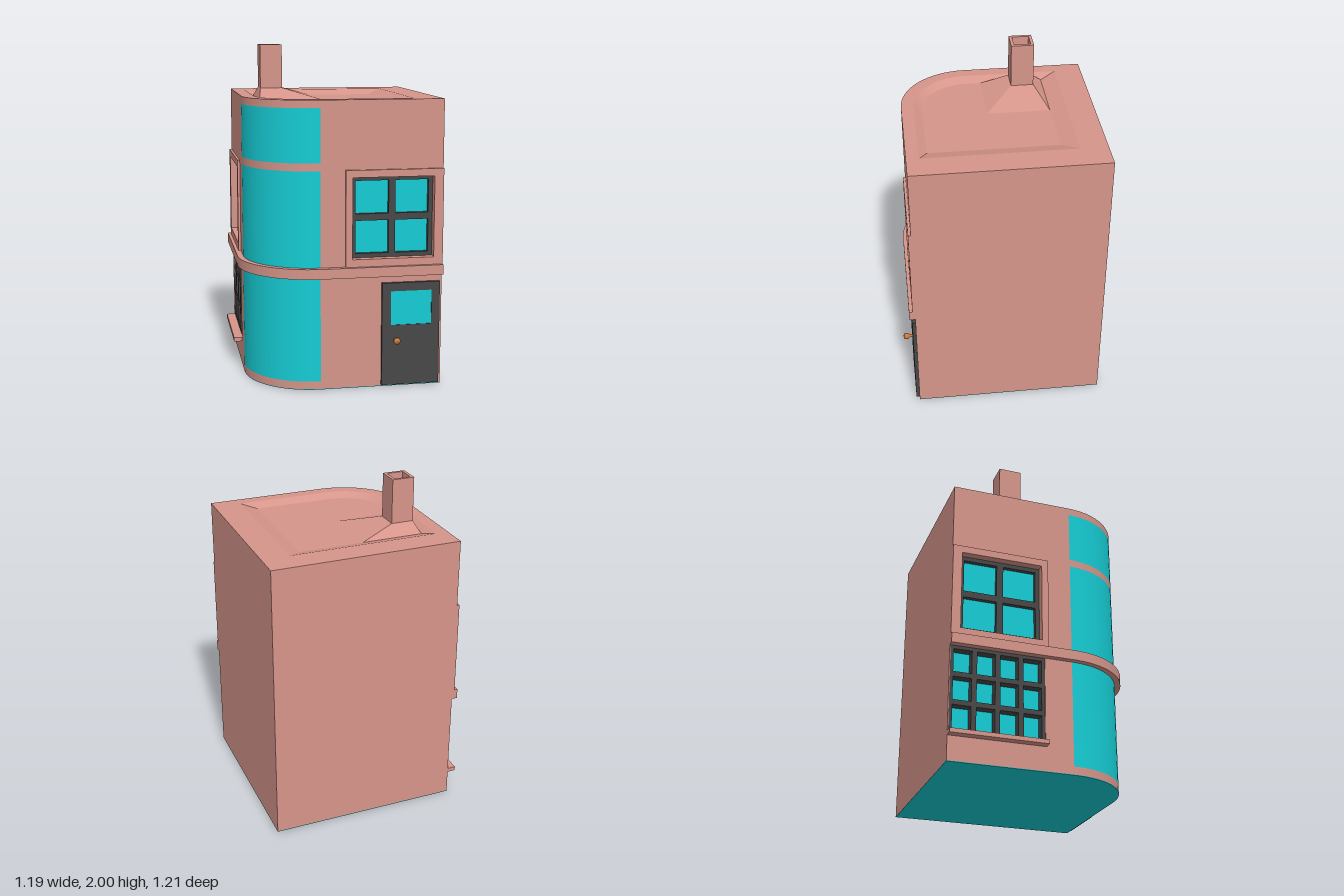
import * as THREE from 'three';
import { toCreasedNormals } from 'three/addons/utils/BufferGeometryUtils.js';

const paint = (color) => new THREE.MeshStandardMaterial({ color, side: THREE.DoubleSide });
const brick = paint(0xd6958a), glass = paint(0x16cdd5), dark = paint(0x484848), copper = paint(0xc87a40);

const TOP = 1.705, SEGS = 16, CX = -0.135, CZ = 0.12, R = 0.41;
const LEFT = CX - R, FRONT = CZ + R, RIGHT = 0.59, BACK = -0.605;

function add(parent, name, geometry, material, x = 0, y = 0, z = 0) {
  const mesh = new THREE.Mesh(geometry, material);
  mesh.name = name;
  mesh.position.set(x, y, z);
  parent.add(mesh);
  return mesh;
}

// Footprint with one rounded corner of radius r, counterclockwise from above
function plan(r, x1 = RIGHT, z0 = BACK) {
  const pts = [[x1, z0], [CX - r, z0]];
  for (let i = 0; i <= SEGS; i++) {
    const a = (i / SEGS) * Math.PI / 2;
    pts.push([CX - r * Math.cos(a), CZ + r * Math.sin(a)]);
  }
  pts.push([x1, CZ + r]);
  return pts;
}

const rect = (x0, x1, z0, z1) => [[x1, z0], [x0, z0], [x0, z1], [x1, z1]];

// Skin a stack of [loop, height] sections and cap both ends
function loft(sections) {
  const n = sections[0][0].length, pos = [], index = [];
  for (const [loop, y] of sections) for (const [x, z] of loop) pos.push(x, y, z);
  for (let s = 0; s < sections.length - 1; s++) {
    for (let i = 0; i < n; i++) {
      const a = s * n + i, b = s * n + (i + 1) % n;
      index.push(a, b, b + n, a, b + n, a + n);
    }
  }
  const t = (sections.length - 1) * n;
  for (let i = 1; i < n - 1; i++) index.push(0, i + 1, i, t, t + i, t + i + 1);
  const g = new THREE.BufferGeometry();
  g.setAttribute('position', new THREE.Float32BufferAttribute(pos, 3));
  g.setIndex(index);
  return toCreasedNormals(g, 0.3);
}

// Flat panel with rectangular holes; rectangles are [u0, u1, y0, y1]
function panel([u0, u1, y0, y1], holes, depth) {
  const corners = (a, b, c, d) => [[a, c], [b, c], [b, d], [a, d]].map((p) => new THREE.Vector2(...p));
  const shape = new THREE.Shape(corners(u0, u1, y0, y1));
  for (const h of holes) shape.holes.push(new THREE.Path(corners(...h)));
  return new THREE.ExtrudeGeometry(shape, { depth, bevelEnabled: false });
}

// Dark sash divided into panes, with glass behind it
function sash(parent, name, area, cols, rows, border, bar, z, depth) {
  const [u0, u1, y0, y1] = area, holes = [];
  const w = (u1 - u0 - 2 * border - (cols - 1) * bar) / cols;
  const h = (y1 - y0 - 2 * border - (rows - 1) * bar) / rows;
  for (let c = 0; c < cols; c++) {
    for (let r = 0; r < rows; r++) {
      const u = u0 + border + c * (w + bar), y = y0 + border + r * (h + bar);
      holes.push([u, u + w, y, y + h]);
    }
  }
  add(parent, name + 'Sash', panel(area, holes, depth), dark, 0, 0, z);
  add(parent, name + 'Glass', new THREE.PlaneGeometry(u1 - u0, y1 - y0), glass, (u0 + u1) / 2, (y0 + y1) / 2, z + 0.002);
}

// Projecting surround and recessed four-pane window
function upperWindow(parent, outer, hole) {
  add(parent, 'windowSurround', panel(outer, [hole], 0.015), brick);
  sash(parent, 'upperWindow', hole, 2, 2, 0.025, 0.04, -0.06, 0.028);
}

export function createModel() {
  const model = new THREE.Group();
  model.name = 'cornerHouse';

  // Floor and plain walls
  add(model, 'floor', loft([[plan(R), 0], [plan(R), 0.004]]), glass);
  const wallH = 1.66;
  add(model, 'backWall', new THREE.BoxGeometry(RIGHT - LEFT - 0.06, wallH, 0.01), brick,
    (RIGHT + LEFT + 0.06) / 2, wallH / 2 + 0.002, BACK + 0.005);
  add(model, 'rightWall', new THREE.BoxGeometry(0.01, wallH, FRONT - BACK), brick,
    RIGHT - 0.005, wallH / 2 + 0.002, (FRONT + BACK) / 2);

  // Curved corner: alternating brick and glass rings
  const levels = [0.004, 0.05, 0.675, 0.735, 1.3, 1.345, 1.66];
  for (let i = 0; i < levels.length - 1; i++) {
    const h = levels[i + 1] - levels[i];
    const ring = new THREE.CylinderGeometry(R, R, h, SEGS, 1, true, -Math.PI / 2, Math.PI / 2);
    add(model, i % 2 ? 'cornerGlass' : 'cornerStrip', ring, i % 2 ? glass : brick, CX, levels[i] + h / 2, CZ);
  }

  // Ledge between the floors
  add(model, 'ledge', loft([[plan(R + 0.035), 0.675], [plan(R + 0.035), 0.735]]), brick);

  // Front side: wall, window, door
  const front = new THREE.Group();
  front.name = 'frontSide';
  front.position.z = FRONT;
  model.add(front);
  const frontHole = [0.05, 0.535, 0.78, 1.26];
  add(front, 'frontWall', panel([CX, RIGHT, 0.004, wallH], [frontHole], 0.06), brick, 0, 0, -0.06);
  upperWindow(front, [0.01, RIGHT, 0.735, 1.303], frontHole);
  const doorPane = [0.28, 0.525, 0.378, 0.583];
  add(front, 'door', panel([0.227, 0.575, 0.012, 0.633], [doorPane], 0.02), dark);
  add(front, 'doorGlass', new THREE.PlaneGeometry(0.245, 0.205), glass, 0.4025, 0.4805, 0.016);
  const knobProfile = [[0, 0], [0.01, 0], [0.009, 0.018], [0.019, 0.028], [0.02, 0.04], [0.015, 0.054], [0, 0.056]];
  const knob = add(front, 'doorKnob', new THREE.LatheGeometry(knobProfile.map((p) => new THREE.Vector2(...p)), 16),
    copper, 0.31, 0.29, 0.019);
  knob.rotation.x = Math.PI / 2;

  // Left-hand side seen from the street: local x runs along world z
  const side = new THREE.Group();
  side.name = 'windowSide';
  side.position.x = LEFT;
  side.rotation.y = -Math.PI / 2;
  model.add(side);
  const sideHole = [-0.55, -0.065, 0.78, 1.26], shopHole = [-0.6, -0.045, 0.17, 0.675];
  add(side, 'windowSideWall', panel([BACK, CZ, 0.004, wallH], [sideHole, shopHole], 0.06), brick, 0, 0, -0.06);
  upperWindow(side, [BACK, -0.025, 0.735, 1.303], sideHole);
  sash(side, 'lowerWindow', shopHole, 4, 3, 0.02, 0.03, -0.06, 0.055);
  add(side, 'windowSill', new THREE.BoxGeometry(0.565, 0.025, 0.05), brick, -0.3225, 0.1575, 0.025);

  // Roof with a shallow sunken basin
  add(model, 'roof', loft([
    [plan(R), 1.66], [plan(R), TOP],
    [plan(0.335, 0.425, -0.445), TOP], [plan(0.288, 0.33, -0.35), 1.675],
  ]), brick);

  // Flared, hollow chimney
  const stack = rect(-0.4, -0.265, -0.278, -0.142), flue = rect(-0.382, -0.283, -0.26, -0.16);
  add(model, 'chimney', loft([
    [rect(-0.425, -0.05, -0.35, 0.03), 1.674], [stack, 1.735], [stack, 2], [flue, 2], [flue, 1.74],
  ]), brick);

  return model;
}
